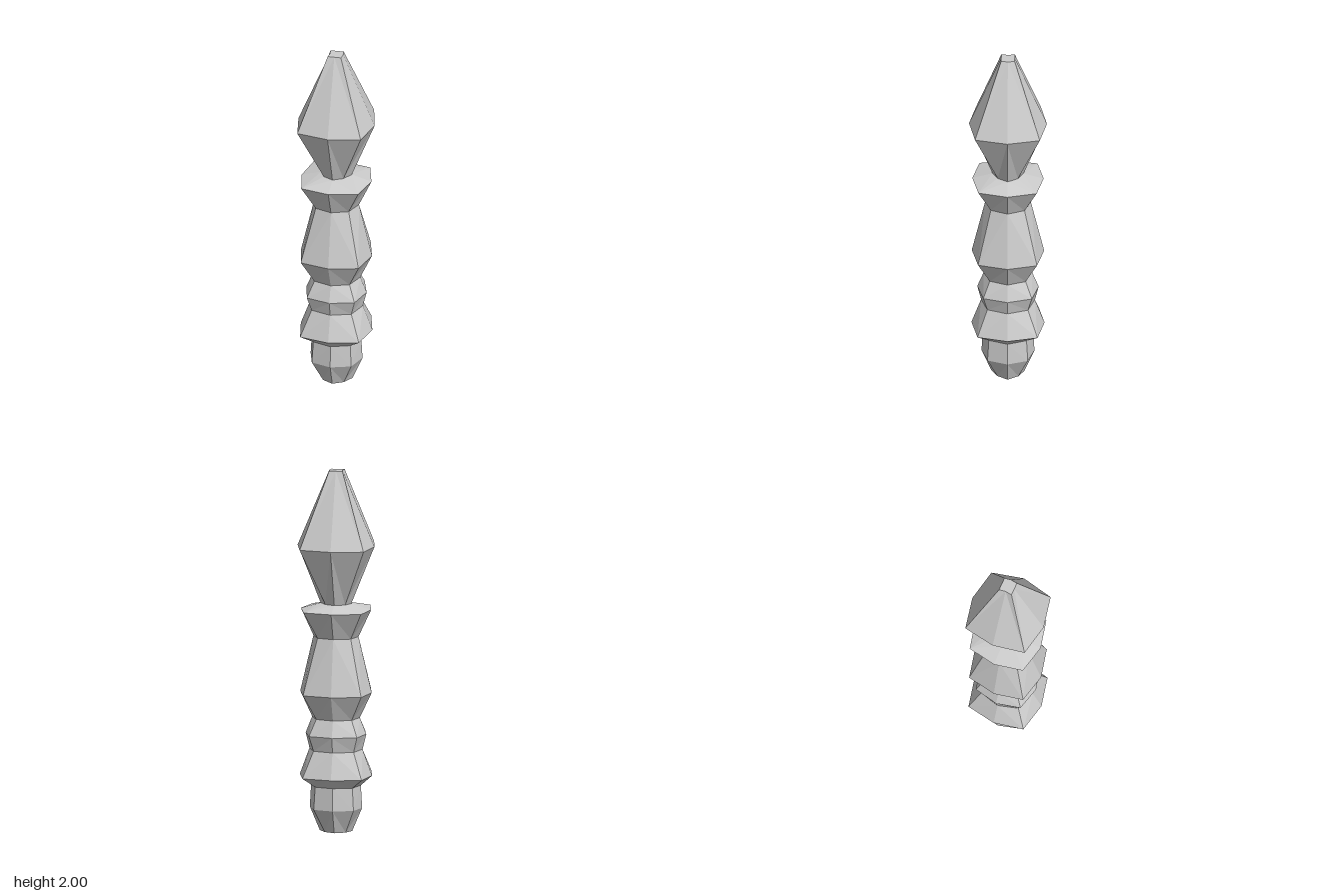
import * as THREE from 'three';

// Rings from bottom to top: [height, reach of side midpoints, reach of corners]
const base = [[0, 0.09, 0.058], [0.13, 0.145, 0.11], [0.255, 0.138, 0.103]];
const lowerCollar = [[0.255, 0.138, 0.103], [0.31, 0.2, 0.164], [0.455, 0.147, 0.111]];
const bead = [[0.455, 0.147, 0.111], [0.54, 0.168, 0.133], [0.63, 0.132, 0.098]];
const shaft = [[0.63, 0.132, 0.098], [0.77, 0.198, 0.161], [1.08, 0.125, 0.092]];
const upperCollar = [[1.08, 0.125, 0.092], [1.23, 0.195, 0.159], [1.262, 0.085, 0.055]];
const finial = [[1.262, 0.085, 0.055], [1.58, 0.213, 0.177], [2, 0.037, 0.037]];

const SHIFT = -0.005; // corners lean slightly to one side

// Eight-sided ring: corners alternate with side midpoints
function ringPoints([y, mid, corner]) {
  const points = [];
  for (let i = 0; i < 8; i++) {
    const a = (i * Math.PI) / 4;
    const r = i % 2 ? corner * Math.SQRT2 : mid;
    const shift = i % 4 === 0 ? 0 : SHIFT;
    points.push(new THREE.Vector3(Math.sin(a + Math.PI / 2) * r + shift, y, Math.cos(a + Math.PI / 2) * r));
  }
  return points;
}

// Joins successive rings with faceted sides, closing the ends when asked
function loft(rings, capBottom, capTop) {
  const loops = rings.map(ringPoints);
  const pos = [];
  const tri = (...pts) => pts.forEach((p) => pos.push(p.x, p.y, p.z));
  for (let k = 0; k < loops.length - 1; k++) {
    for (let i = 0; i < 8; i++) {
      const j = (i + 1) % 8;
      const [a, b, c, d] = [loops[k][i], loops[k][j], loops[k + 1][j], loops[k + 1][i]];
      // Mirror the split so each side stays symmetric
      if (i % 2) tri(a, b, c), tri(a, c, d);
      else tri(a, b, d), tri(b, c, d);
    }
  }
  const bottom = loops[0];
  const top = loops[loops.length - 1];
  for (let i = 1; i < 7; i++) {
    if (capBottom) tri(bottom[0], bottom[i + 1], bottom[i]);
    if (capTop) tri(top[0], top[i], top[i + 1]);
  }
  const geometry = new THREE.BufferGeometry();
  geometry.setAttribute('position', new THREE.Float32BufferAttribute(pos, 3));
  geometry.computeVertexNormals();
  return geometry;
}

export function createModel() {
  const group = new THREE.Group();
  group.name = 'turnedPost';
  const material = new THREE.MeshStandardMaterial({ color: 0xcccccc, flatShading: true });
  const parts = { base, lowerCollar, bead, shaft, upperCollar, finial };
  for (const [name, rings] of Object.entries(parts)) {
    const mesh = new THREE.Mesh(loft(rings, name === 'base', name === 'finial'), material);
    mesh.name = name;
    group.add(mesh);
  }
  return group;
}
